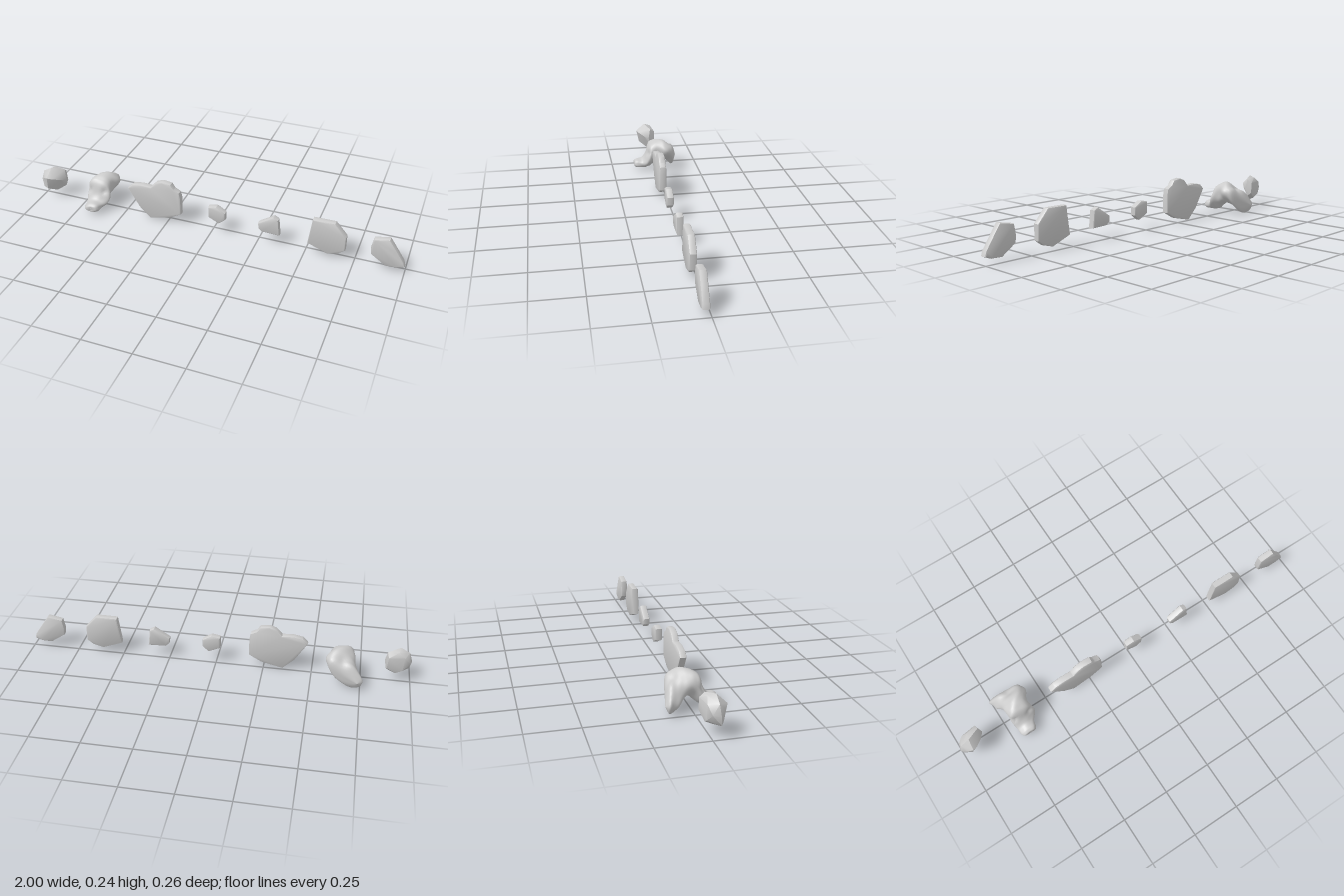
import * as THREE from 'three';
import { ConvexGeometry } from 'three/addons/geometries/ConvexGeometry.js';
import { toCreasedNormals } from 'three/addons/utils/BufferGeometryUtils.js';

const material = new THREE.MeshStandardMaterial({ color: 0xcccccc });

function addMesh(group, name, geometry) {
  const mesh = new THREE.Mesh(geometry, material);
  mesh.name = name;
  group.add(mesh);
}

// Flat broken plate with worn, bevelled edges
function shardGeometry(outline) {
  const shape = new THREE.Shape(outline.map(([x, y]) => new THREE.Vector2(x, y)));
  const geo = new THREE.ExtrudeGeometry(shape, {
    depth: 0.018, bevelThickness: 0.009, bevelSize: 0.007, bevelOffset: -0.007, bevelSegments: 2,
  });
  geo.translate(0, 0, 0.015);
  return toCreasedNormals(geo, 0.6);
}

// Tilted oval sections along z: [z, centre x, centre y, half width, half height, tilt]
const SECTIONS = [
  [-0.132, -0.735, 0.05, 0.001, 0.001, 0.6],
  [-0.118, -0.715, 0.06, 0.05, 0.032, 0.6],
  [-0.1, -0.675, 0.08, 0.088, 0.056, 0.65],
  [-0.075, -0.662, 0.098, 0.095, 0.05, 0.6],
  [-0.045, -0.648, 0.118, 0.08, 0.054, 0.5],
  [-0.015, -0.65, 0.122, 0.064, 0.06, 0.4],
  [0.015, -0.652, 0.11, 0.061, 0.068, 0.2],
  [0.042, -0.652, 0.087, 0.066, 0.064, 0.1],
  [0.06, -0.655, 0.055, 0.058, 0.04, 0.1],
  [0.08, -0.66, 0.042, 0.047, 0.027, 0.1],
  [0.11, -0.66, 0.039, 0.042, 0.025, 0.1],
  [0.125, -0.66, 0.038, 0.031, 0.017, 0.1],
  [0.13, -0.66, 0.038, 0.001, 0.001, 0.1],
];
// Dents: [x, y, z, radius, depth] for the eye hollows, back notch and mouth
const DENTS = [
  [-0.7, 0.11, 0.045, 0.016, 0.02],
  [-0.61, 0.115, 0.045, 0.016, 0.012],
  [-0.66, 0.16, -0.1, 0.03, 0.018],
  [-0.66, 0.035, 0.125, 0.012, 0.008],
];

function boneGeometry() {
  const rings = 48, sides = 32, positions = [], indices = [];
  const centres = new THREE.CatmullRomCurve3(SECTIONS.map(([z, x, y]) => new THREE.Vector3(x, y, z)));
  const sizes = new THREE.CatmullRomCurve3(SECTIONS.map((s) => new THREE.Vector3(s[3], s[4], s[5])));
  for (let i = 0; i <= rings; i++) {
    const c = centres.getPoint(i / rings), s = sizes.getPoint(i / rings);
    for (let j = 0; j < sides; j++) {
      const a = (j / sides) * Math.PI * 2;
      const lump = 1 + 0.045 * Math.sin(3 * a + c.z * 40) + 0.025 * Math.sin(5 * a - c.z * 75);
      const u = Math.cos(a) * s.x * lump, v = Math.sin(a) * s.y * lump;
      const p = new THREE.Vector3(
        c.x + u * Math.cos(s.z) - v * Math.sin(s.z),
        c.y + u * Math.sin(s.z) + v * Math.cos(s.z), c.z);
      for (const [x, y, z, r, depth] of DENTS) {
        const d = p.distanceTo(new THREE.Vector3(x, y, z));
        const push = depth * Math.exp(-(d * d) / (r * r));
        p.add(new THREE.Vector3(-0.655, 0.08, 0).sub(p).setLength(push));
      }
      positions.push(p.x, p.y, p.z);
      if (i < rings) {
        const k = (j + 1) % sides, n = i * sides;
        indices.push(n + j, n + k, n + sides + k, n + j, n + sides + k, n + sides + j);
      }
    }
  }
  const geo = new THREE.BufferGeometry();
  geo.setAttribute('position', new THREE.Float32BufferAttribute(positions, 3));
  geo.setIndex(indices);
  geo.computeVertexNormals();
  return geo;
}

// Faceted pebble
const PEBBLE = [
  [-1, 0.105, 0.035], [-0.985, 0.157, 0.03], [-0.99, 0.06, 0.04], [-0.99, 0.11, 0.0],
  [-0.937, 0.184, 0.03], [-0.873, 0.168, 0.0], [-0.863, 0.115, 0.01], [-0.873, 0.07, 0.0],
  [-0.92, 0.04, 0.02], [-0.945, 0.14, 0.077], [-0.92, 0.135, 0.068], [-0.955, 0.065, 0.06],
  [-0.96, 0.15, -0.015], [-0.955, 0.075, -0.015], [-0.88, 0.15, -0.026], [-0.875, 0.09, -0.026],
  [-0.92, 0.055, -0.012], [-0.975, 0.13, 0.062], [-0.93, 0.175, -0.005], [-0.88, 0.12, 0.035],
];

// Outlines of the flat shards, from right to left
const SHARDS = {
  largeShard: [[-0.473, 0.163], [-0.41, 0.06], [-0.35, 0.002], [-0.238, 0.028], [-0.172, 0.065],
    [-0.172, 0.16], [-0.18, 0.195], [-0.21, 0.21], [-0.227, 0.236], [-0.275, 0.243],
    [-0.31, 0.23], [-0.34, 0.197], [-0.398, 0.2], [-0.446, 0.19]],
  tinyShard: [[-0.02, 0.15], [-0.02, 0.088], [0.04, 0.06], [0.073, 0.088], [0.073, 0.13], [0.025, 0.158]],
  smallShard: [[0.25, 0.115], [0.252, 0.085], [0.27, 0.068], [0.365, 0.065], [0.355, 0.155], [0.33, 0.168]],
  mediumShard: [[0.53, 0.207], [0.51, 0.06], [0.615, 0.02], [0.67, 0.035], [0.703, 0.06],
    [0.703, 0.14], [0.643, 0.208]],
  endShard: [[0.835, 0.165], [0.825, 0.11], [0.83, 0.075], [0.905, 0.024], [0.96, 0.026],
    [0.998, 0.04], [0.99, 0.065], [0.95, 0.125], [0.912, 0.18]],
};

export function createModel() {
  const group = new THREE.Group();
  group.name = 'stoneFragments';
  const pebble = new ConvexGeometry(PEBBLE.map((p) => new THREE.Vector3(...p)));
  addMesh(group, 'pebble', toCreasedNormals(pebble, 0.7));
  addMesh(group, 'carvedHead', boneGeometry());
  for (const [name, outline] of Object.entries(SHARDS)) addMesh(group, name, shardGeometry(outline));
  return group;
}
